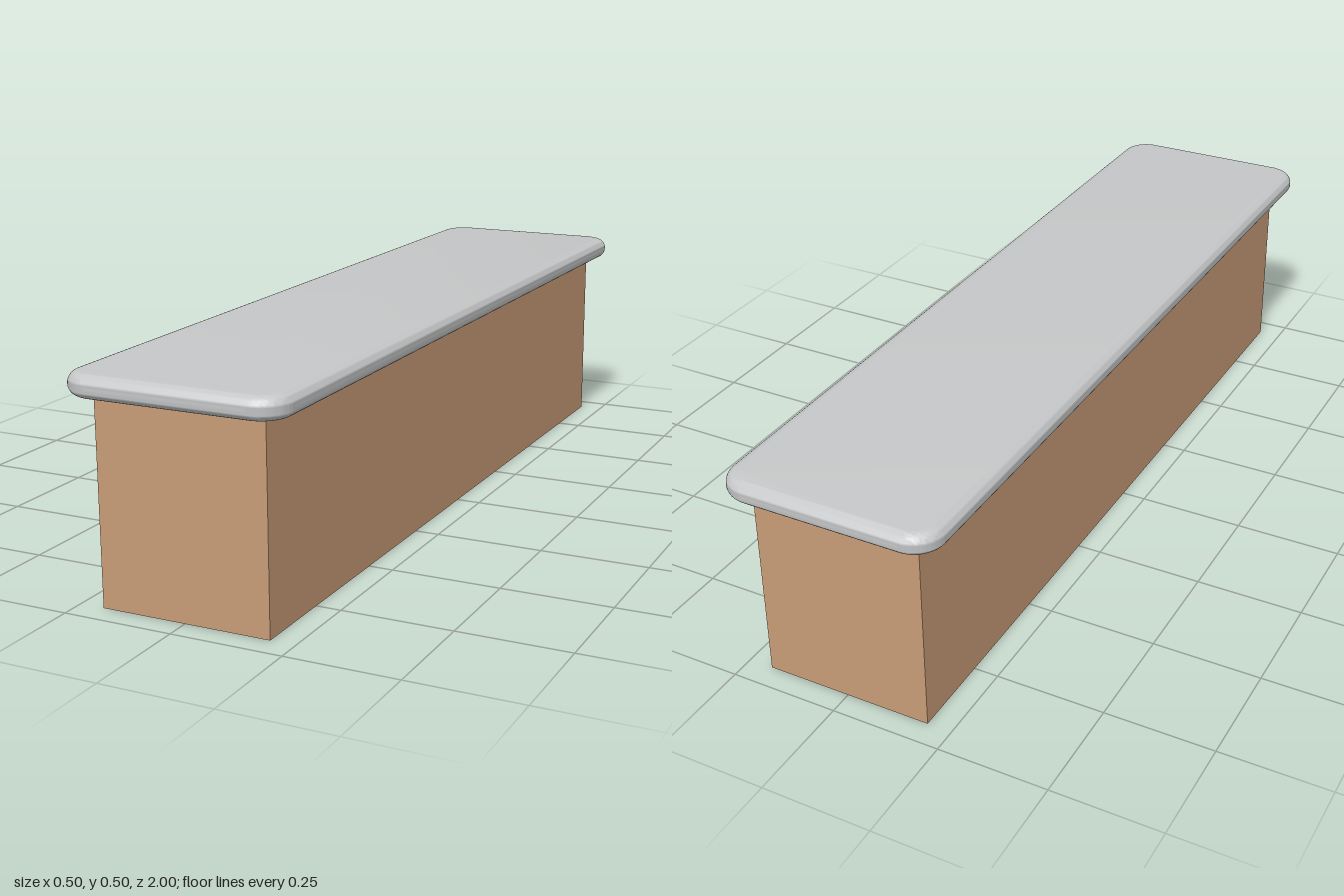
import * as THREE from 'three';
import { toCreasedNormals } from 'three/addons/utils/BufferGeometryUtils.js';

const wood = new THREE.MeshStandardMaterial({ color: 0xc89d77 });
wood.name = 'tan wood';
const grey = new THREE.MeshStandardMaterial({ color: 0xc6c7c8 });
grey.name = 'light grey';

// Rounded rectangle centred on the origin
function roundedRect(w, h, r) {
  const x = w / 2 - r, y = h / 2 - r;
  const s = new THREE.Shape();
  s.absarc(x, y, r, 0, Math.PI / 2);
  s.absarc(-x, y, r, Math.PI / 2, Math.PI);
  s.absarc(-x, -y, r, Math.PI, Math.PI * 1.5);
  s.absarc(x, -y, r, Math.PI * 1.5, Math.PI * 2);
  s.closePath();
  return s;
}

export function createModel() {
  const group = new THREE.Group();
  group.name = 'counter';

  // Cabinet: wooden sides, grey top and underside
  const height = 0.453;
  const base = new THREE.Mesh(
    new THREE.BoxGeometry(0.388, height, 1.89),
    [wood, wood, grey, grey, wood, wood]
  );
  base.name = 'cabinet';
  base.position.y = height / 2;
  group.add(base);

  // Worktop: rounded plan corners and a bullnose edge
  const bevel = 0.024;
  const slab = new THREE.ExtrudeGeometry(roundedRect(0.5 - 2 * bevel, 2 - 2 * bevel, 0.046), {
    depth: 0.002, bevelEnabled: true, bevelThickness: bevel, bevelSize: bevel,
    bevelSegments: 8, curveSegments: 10
  });
  slab.rotateX(-Math.PI / 2);
  const top = new THREE.Mesh(toCreasedNormals(slab, Math.PI / 5), grey);
  top.name = 'worktop';
  top.position.y = 0.452 + bevel;
  group.add(top);

  return group;
}
